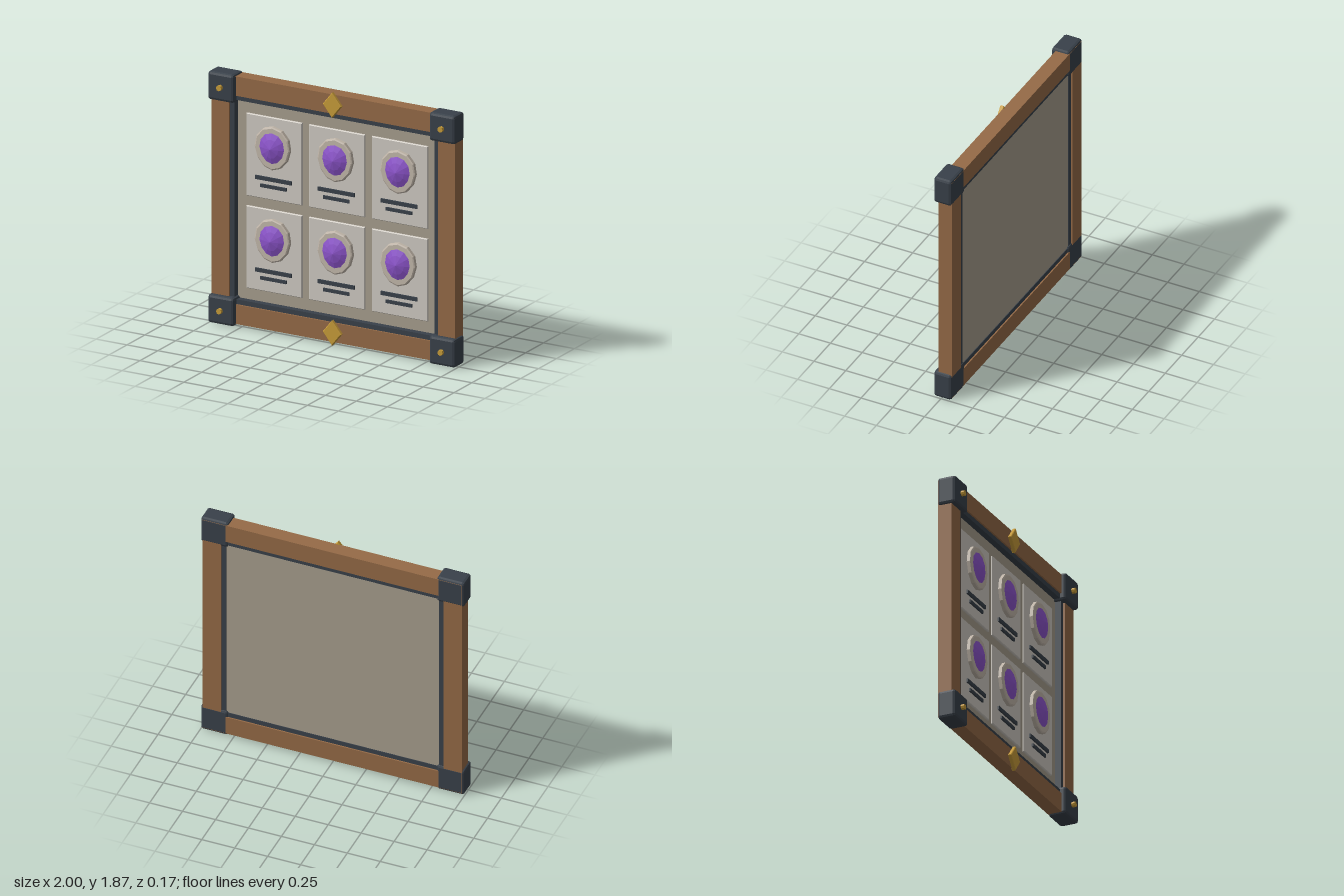
import * as THREE from 'three';
import { RoundedBoxGeometry } from 'three/addons/geometries/RoundedBoxGeometry.js';

const mat = (color) => new THREE.MeshStandardMaterial({ color, flatShading: true });
const wood = mat(0x966b47), iron = mat(0x39414a), linen = mat(0xa89f8e), paper = mat(0xd0cbc3);
const stone = mat(0xc4b9ac), violet = mat(0x8f56cf), gold = mat(0xc99d3a);
const MID = 0.935; // height of the board's centre

function add(parent, name, geometry, material, x = 0, y = 0, z = 0) {
  const mesh = new THREE.Mesh(geometry, material);
  mesh.name = name;
  mesh.position.set(x, y, z);
  parent.add(mesh);
  return mesh;
}

const rect = (Type, w, h) => new Type([[-w, -h], [w, -h], [w, h], [-w, h]].map(([x, y]) => new THREE.Vector2(x, y)));

// Rectangular ring given by outer and inner half sizes, from z0 to z1
function ring(ow, oh, iw, ih, z0, z1) {
  const shape = rect(THREE.Shape, ow, oh);
  shape.holes.push(rect(THREE.Path, iw, ih));
  return new THREE.ExtrudeGeometry(shape, { depth: z1 - z0, bevelEnabled: false }).translate(0, 0, z0);
}

// Bevelled plate from a shape, from z0 to z1
function plate(shape, z0, z1, bevel) {
  return new THREE.ExtrudeGeometry(shape, {
    depth: z1 - z0 - 2 * bevel, bevelThickness: bevel, bevelSize: bevel, bevelOffset: -bevel, bevelSegments: 1,
  }).translate(0, 0, z0 + bevel);
}

// Twelve-sided oval turned to face +z, a little narrower at the bottom
function oval(profile, halfHeight) {
  const g = new THREE.LatheGeometry(profile.map(([r, z]) => new THREE.Vector2(r, z)), 12);
  g.rotateX(Math.PI / 2);
  const p = g.attributes.position;
  for (let i = 0; i < p.count; i++) {
    const y = p.getY(i);
    p.setX(i, p.getX(i) * 0.88 * (1 + 0.08 * y / halfHeight));
  }
  g.computeVertexNormals();
  return g;
}

// One card with its oval mount, gem and two bars
function makeCard() {
  const card = new THREE.Group();
  card.name = 'card';
  add(card, 'cardSheet', plate(rect(THREE.Shape, 0.226, 0.305), -0.04, -0.02, 0.005), paper);
  add(card, 'gemMount', oval([[0.16, -0.021], [0.16, 0.005], [0.15, 0.01], [0, 0.01]], 0.16), stone, 0, 0.085);
  add(card, 'gem', oval([[0.116, 0.009], [0.07, 0.025], [0, 0.041]], 0.116), violet, 0, 0.087);
  add(card, 'longBar', new THREE.BoxGeometry(0.295, 0.028, 0.016), iron, 0, -0.152, -0.016);
  add(card, 'shortBar', new THREE.BoxGeometry(0.21, 0.024, 0.016), iron, 0, -0.207, -0.016);
  return card;
}

export function createModel() {
  const board = new THREE.Group();
  board.name = 'displayBoard';

  // Frame, inner trim and backing panel
  add(board, 'woodFrame', ring(0.985, 0.915, 0.845, 0.772, -0.08, 0.025), wood, 0, MID);
  add(board, 'innerTrim', ring(0.847, 0.774, 0.808, 0.737, -0.07, 0.012), iron, 0, MID);
  add(board, 'backPanel', new THREE.BoxGeometry(1.63, 1.49, 0.03), linen, 0, MID, -0.05);

  // Corner blocks with bolts
  for (const sx of [-1, 1]) for (const sy of [-1, 1]) {
    const corner = new THREE.Group();
    corner.name = 'corner';
    corner.position.set(sx * 0.895, MID + sy * 0.825, 0);
    add(corner, 'cornerBlock', new RoundedBoxGeometry(0.21, 0.21, 0.141, 1, 0.02), iron, 0, 0, -0.0105);
    add(corner, 'bolt', new THREE.CylinderGeometry(0.021, 0.021, 0.035, 8).rotateX(Math.PI / 2), gold, 0, 0, 0.0675);
    board.add(corner);
  }

  // Diamond ornaments on the top and bottom rails
  const diamond = new THREE.Shape([[0, -0.0935], [0.075, 0], [0, 0.0935], [-0.075, 0]].map(([x, y]) => new THREE.Vector2(x, y)));
  for (const sy of [-1, 1]) add(board, 'diamond', plate(diamond, 0.02, 0.05, 0.005), gold, 0, MID + sy * 0.8415);

  // Two rows of three cards
  for (const y of [0.588, 1.272]) for (const x of [-0.508, 0, 0.508]) {
    const card = makeCard();
    card.position.set(x, y, 0);
    board.add(card);
  }
  return board;
}
